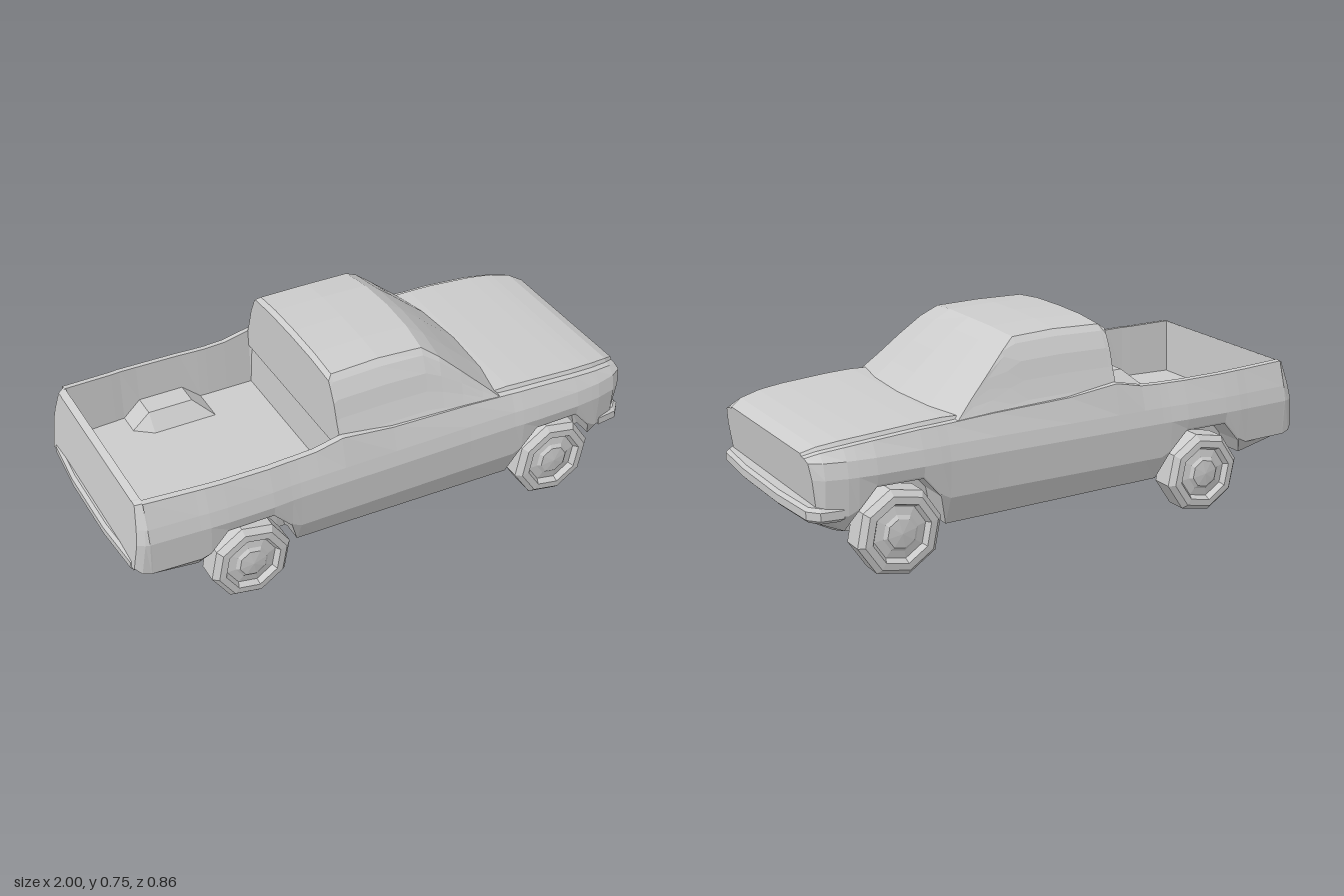
import * as THREE from 'three';

const paint = new THREE.MeshStandardMaterial({ color: 0xcccccc, flatShading: true });

// Skin a list of mirrored rings running along x; each half ring lists [x, y, z] from bottom to top centre.
function loft(halves, name) {
  const rings = halves.map(h => [...h, ...h.slice(1, -1).reverse().map(([x, y, z]) => [x, y, -z])]);
  const n = rings[0].length, pos = rings.flat(2), idx = [];
  for (let i = 0; i < rings.length - 1; i++) {
    for (let j = 0; j < n; j++) {
      const a = i * n + j, b = i * n + (j + 1) % n, c = b + n, d = a + n;
      idx.push(a, d, b, b, d, c);
    }
  }
  [0, rings.length - 1].forEach(r => {
    const ring = rings[r], m = pos.length / 3;
    for (let k = 0; k < 3; k++) pos.push(ring.reduce((s, p) => s + p[k], 0) / n);
    for (let j = 0; j < n; j++) {
      const a = r * n + j, b = r * n + (j + 1) % n;
      idx.push(...(r ? [m, b, a] : [m, a, b]));
    }
  });
  const geo = new THREE.BufferGeometry();
  geo.setAttribute('position', new THREE.Float32BufferAttribute(pos, 3));
  geo.setIndex(idx);
  geo.computeVertexNormals();
  const mesh = new THREE.Mesh(geo, paint);
  mesh.name = name;
  return mesh;
}

// Body stations: x, underside, side lower edge, half width, shoulder height, deck or bed floor height
const REAR = [
  [-0.98, 0.26, 0.27, 0.395, 0.515, 0.515],
  [-0.955, 0.235, 0.25, 0.41, 0.525, 0.525],
  [-0.93, 0.225, 0.235, 0.415, 0.525, 0.525],
  [-0.925, 0.225, 0.235, 0.415, 0.525, 0.32],
  [-0.75, 0.185, 0.2, 0.425, 0.52, 0.32],
  [-0.715, 0.18, 0.26, 0.428, 0.52, 0.32],
  [-0.65, 0.17, 0.335, 0.43, 0.518, 0.32],
  [-0.48, 0.155, 0.335, 0.43, 0.516, 0.32],
  [-0.41, 0.15, 0.26, 0.426, 0.516, 0.32],
  [-0.375, 0.15, 0.16, 0.425, 0.516, 0.32],
  [-0.3, 0.148, 0.158, 0.425, 0.52, 0.32],
  [-0.2, 0.147, 0.157, 0.425, 0.542, 0.32],
];
const FRONT = [
  [-0.19, 0.147, 0.157, 0.425, 0.542, 0.5],
  [0, 0.143, 0.153, 0.425, 0.52, 0.5],
  [0.3, 0.137, 0.147, 0.425, 0.51, 0.51],
  [0.485, 0.13, 0.145, 0.427, 0.5, 0.516],
  [0.52, 0.13, 0.26, 0.429, 0.499, 0.515],
  [0.585, 0.13, 0.335, 0.43, 0.497, 0.512],
  [0.755, 0.14, 0.335, 0.428, 0.485, 0.5],
  [0.82, 0.15, 0.26, 0.422, 0.478, 0.494],
  [0.855, 0.16, 0.185, 0.418, 0.474, 0.49],
  [0.93, 0.2, 0.215, 0.4, 0.462, 0.476],
  [0.955, 0.225, 0.24, 0.375, 0.445, 0.455],
];

function bodySection([x, under, low, w, top, deck]) {
  const open = deck < 0.4;
  const tub = open ? Math.max(deck, low + 0.045) : deck;
  const lean = Math.abs(x) > 0.94 ? 0.13 : 0;
  return [
    [under, 0], [under, 0.28], [low, 0.3], [low, low > 0.25 ? w - 0.012 : w - 0.05],
    [Math.max(0.25, low + 0.008), w - 0.008], [Math.max(0.38, low + 0.02), w],
    [0.435, w - 0.012], [top, w - 0.04], [top + 0.002, w - 0.062],
    [tub, w - 0.07], [tub, 0.27], [deck, 0.22], [deck, 0],
  ].map(([y, z]) => [x + lean * (y - 0.3), y, z]);
}

// Half width of the cab at a given height
const SIDE = [[0.48, 0.395], [0.53, 0.37], [0.6, 0.343], [0.66, 0.325], [0.72, 0.292], [0.745, 0.265]];
function cabWidth(y) {
  let i = 0;
  while (i < SIDE.length - 2 && y > SIDE[i + 1][0]) i++;
  const [[y0, z0], [y1, z1]] = [SIDE[i], SIDE[i + 1]];
  return z0 + (z1 - z0) * (y - y0) / (y1 - y0);
}

function cabSection([x, h]) {
  const edge = h - 0.015;
  const pts = [[0.48, 0]];
  [0, 0.2, 0.45, 0.7, 0.92, 1].forEach(f => {
    const y = 0.48 + (edge - 0.48) * f;
    pts.push([y, cabWidth(y)]);
  });
  pts.push([h - 0.003, cabWidth(edge) * 0.55], [h, 0]);
  // the windscreen bows forward in the middle
  const bow = x > 0.1 ? 0.035 : 0;
  return pts.map(([y, z]) => [x + bow * (1 - (z / 0.38) ** 2), y, z]);
}

// Bumper: a five-sided bar wrapping round the body corners, end = +1 front or -1 rear
function bumper(end, yLow, yHigh, name) {
  const shape = new THREE.Shape([
    [0.87, -0.41], [0.95, -0.4], [0.985, -0.36], [1, -0.15], [1, 0.15],
    [0.985, 0.36], [0.95, 0.4], [0.87, 0.41],
  ].map(([x, z]) => new THREE.Vector2(x * end, z)));
  const bevel = 0.012;
  const geo = new THREE.ExtrudeGeometry(shape, {
    depth: yHigh - yLow - 2 * bevel, bevelEnabled: true, bevelSegments: 1,
    bevelThickness: bevel, bevelSize: bevel, bevelOffset: -bevel,
  });
  geo.rotateX(-Math.PI / 2).translate(0, yLow + bevel, 0);
  const mesh = new THREE.Mesh(geo, paint);
  mesh.name = name;
  return mesh;
}

// Eight-sided wheel with a stepped hub; the axis runs along z with the outer face at +z
function wheel(r, name) {
  const profile = [
    [0, -0.05], [0.6, -0.05], [0.86, -0.06], [1, -0.04], [1, 0.04], [0.87, 0.06],
    [0.7, 0.062], [0.62, 0.042], [0.42, 0.048], [0.34, 0.058], [0, 0.064],
  ].map(([q, y]) => new THREE.Vector2(q * r, y));
  const geo = new THREE.LatheGeometry(profile, 8);
  geo.rotateX(Math.PI / 2).rotateZ(0.2);
  const mesh = new THREE.Mesh(geo, paint);
  mesh.name = name;
  return mesh;
}

export function createModel() {
  const truck = new THREE.Group();
  truck.name = 'pickupTruck';

  // Body with open bed, wheel arches and bonnet
  truck.add(loft([...REAR, ...FRONT].map(bodySection), 'body'));

  // Cab with upright back and raked windscreen
  truck.add(loft([
    [-0.202, 0.738], [-0.185, 0.752], [0, 0.756], [0.15, 0.75],
    [0.21, 0.712], [0.29, 0.645], [0.37, 0.575], [0.44, 0.515],
  ].map(cabSection), 'cab'));

  truck.add(bumper(1, 0.232, 0.285, 'frontBumper'));
  truck.add(bumper(-1, 0.248, 0.298, 'rearBumper'));

  // Wheels
  [['rear', -0.565, 0.152], ['front', 0.67, 0.158]].forEach(([axle, x, r]) => {
    [1, -1].forEach(s => {
      const w = wheel(r, `${axle}Wheel${s > 0 ? 'Near' : 'Far'}`);
      w.position.set(x, 0.158, 0.362 * s);
      if (s < 0) w.rotation.y = Math.PI;
      truck.add(w);
    });
  });

  return truck;
}
